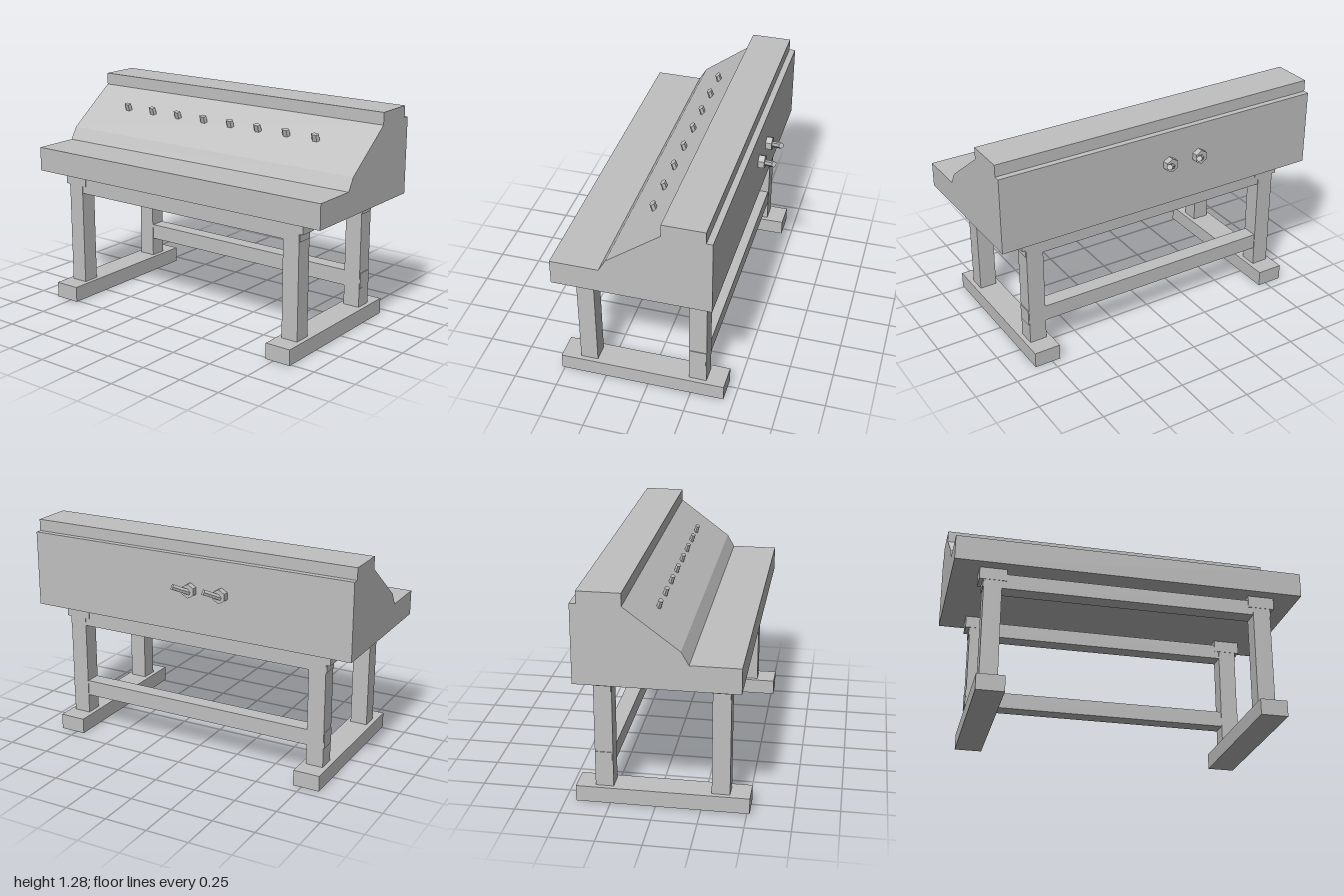
import * as THREE from 'three';

export function createModel() {
  const model = new THREE.Group();
  const grey = new THREE.MeshStandardMaterial({ color: 0xc0c0c0, flatShading: true });
  grey.name = 'plain grey';

  const add = (name, geometry) => {
    const mesh = new THREE.Mesh(geometry, grey);
    mesh.name = name;
    model.add(mesh);
    return mesh;
  };
  // Box given by its extents on each axis
  const box = (name, x0, x1, y0, y1, z0, z1) =>
    add(name, new THREE.BoxGeometry(x1 - x0, y1 - y0, z1 - z0))
      .position.set((x0 + x1) / 2, (y0 + y1) / 2, (z0 + z1) / 2);
  // Six-sided rod between two points
  const rod = (name, from, to, radius) => {
    const dir = to.clone().sub(from);
    const mesh = add(name, new THREE.CylinderGeometry(radius, radius, dir.length(), 6));
    mesh.position.copy(from).add(to).multiplyScalar(0.5);
    mesh.quaternion.setFromUnitVectors(new THREE.Vector3(0, 1, 0), dir.normalize());
    return mesh;
  };

  // Desk-shaped cabinet: side profile as (z, y), extruded along x
  const profile = [[0.475, 0.77], [0.475, 0.913], [0.205, 0.913], [0.163, 0.985],
    [-0.14, 1.212], [-0.405, 1.212], [-0.405, 0.77]];
  const shape = new THREE.Shape(profile.map(([z, y]) => new THREE.Vector2(-z, y)));
  const cabinet = new THREE.ExtrudeGeometry(shape, { depth: 2, bevelEnabled: false });
  cabinet.translate(0, 0, -1).rotateY(Math.PI / 2);
  add('cabinet', cabinet);
  box('topLedge', -1, 1, 1.205, 1.28, -0.37, -0.137);

  // Trestle legs with feet and bearing blocks
  for (const side of [-1, 1]) {
    const span = (name, a, b, ...rest) =>
      box(name, Math.min(side * a, side * b), Math.max(side * a, side * b), ...rest);
    span('foot', 0.70, 0.855, 0, 0.092, -0.441, 0.515);
    for (const [z0, z1] of [[0.305, 0.405], [-0.335, -0.235]]) {
      span('leg', 0.727, 0.828, 0.09, 0.77, z0, z1);
      span('legBlock', 0.70, 0.853, 0.70, 0.772, z0 - 0.001, z1 + 0.002);
    }
  }

  // Rails, their ends showing just outside the legs
  for (const [z0, z1] of [[0.308, 0.402], [-0.332, -0.238]])
    box('upperRail', -0.832, 0.832, 0.655, 0.743, z0, z1);
  box('lowerRail', -0.832, 0.832, 0.206, 0.299, -0.331, -0.239);

  // Row of small flattened knobs on the slope
  for (let i = 0; i < 8; i++) {
    const knob = add('knob', new THREE.CylinderGeometry(0.026, 0.026, 0.06, 6).rotateY(Math.PI / 6));
    knob.scale.z = 0.55;
    knob.position.set(-0.7 + i * 0.1943, 1.113, 0.003);
    knob.rotation.x = 0.3;
  }

  // Two levers on hexagonal nuts at the back
  for (const x of [-0.23, -0.036]) {
    const nut = add('leverNut', new THREE.CylinderGeometry(0.041, 0.041, 0.045, 6));
    nut.rotation.x = Math.PI / 2;
    nut.position.set(x, 1.02, -0.418);
    rod('lever', new THREE.Vector3(x - 0.01, 1.01, -0.425),
      new THREE.Vector3(x + 0.06, 1.055, -0.502), 0.017);
  }
  return model;
}
